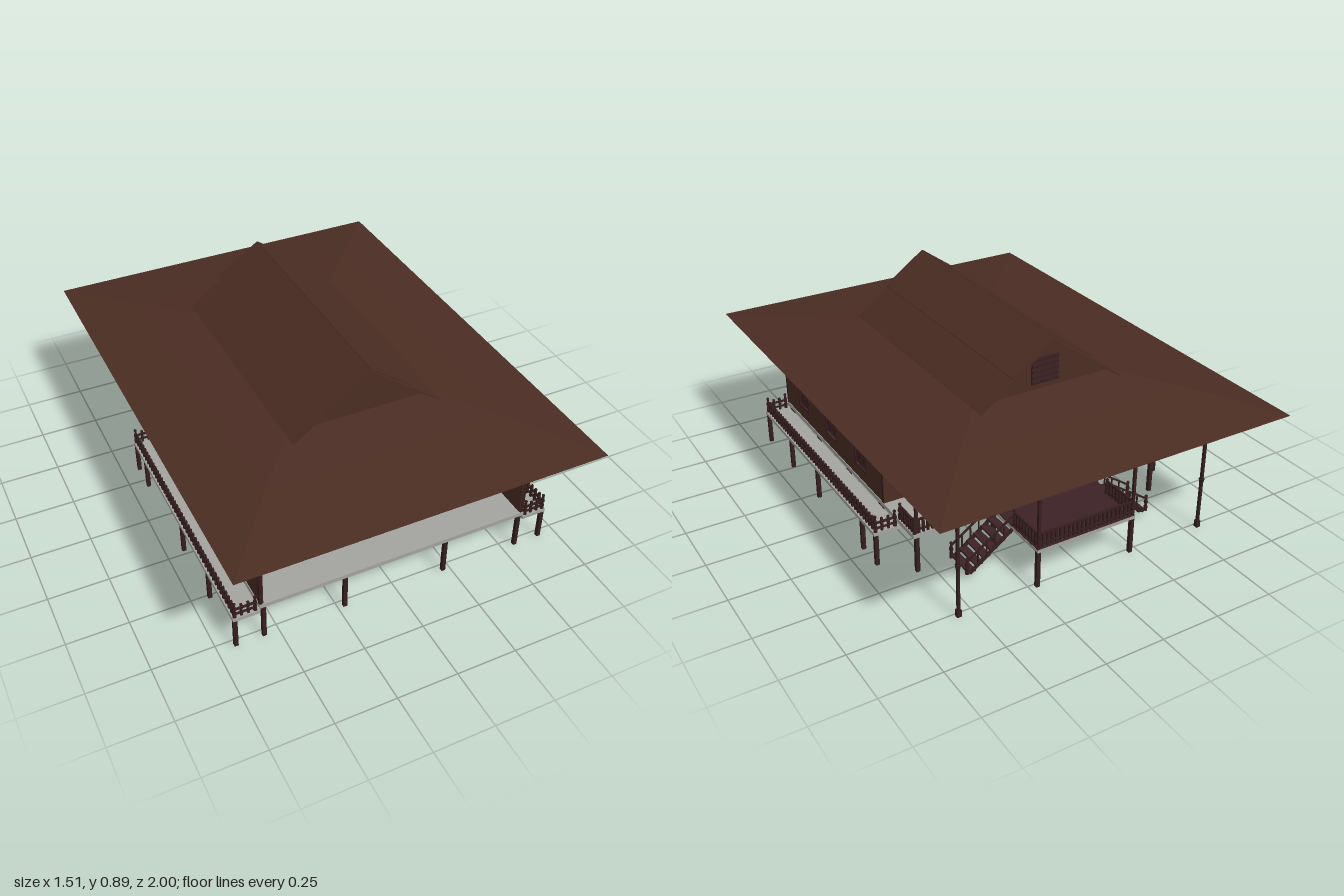
import * as THREE from 'three';

const mat = (name, color, side = THREE.FrontSide) => {
  const m = new THREE.MeshStandardMaterial({ color, side });
  m.name = name;
  return m;
};

export function createModel() {
  const root = new THREE.Group();
  const roofBrown = mat('roofBrown', 0x4b2d23, THREE.DoubleSide);
  const wallBrown = mat('wallBrown', 0x4a2e23);
  const darkRed = mat('darkRedWood', 0x3d2226);
  const darkWood = mat('darkWood', 0x351e1d);
  const grey = mat('floorGrey', 0xa3a39f);
  const V = (x, y, z) => new THREE.Vector3(x, y, z);

  const add = (name, geo, m, parent = root) => {
    const mesh = new THREE.Mesh(geo, m);
    mesh.name = name;
    parent.add(mesh);
    return mesh;
  };
  // box given by its minimum and maximum corners
  const block = (name, x0, x1, y0, y1, z0, z1, m, parent) => {
    const b = add(name, new THREE.BoxGeometry(x1 - x0, y1 - y0, z1 - z0), m, parent);
    b.position.set((x0 + x1) / 2, (y0 + y1) / 2, (z0 + z1) / 2);
    return b;
  };
  // straight bar from a to b, w wide and h high
  const bar = (name, a, b, w, h, m, parent) => {
    const mesh = add(name, new THREE.BoxGeometry(w, h, a.distanceTo(b)), m, parent);
    mesh.position.copy(a).lerp(b, 0.5);
    mesh.lookAt(b);
    return mesh;
  };
  const post = (name, x, z, y0, y1, w = 0.016) =>
    block(name, x - w / 2, x + w / 2, y0, y1, z - w / 2, z + w / 2, darkWood);

  // turned newel post
  const newelProfile = [[0.008, 0], [0.008, 0.022], [0.005, 0.028], [0.009, 0.04], [0.005, 0.055],
    [0.005, 0.062], [0.007, 0.069], [0, 0.077]].map(p => new THREE.Vector2(...p));
  const newelGeo = new THREE.LatheGeometry(newelProfile, 8);
  const newel = (x, y, z, parent = root) => add('newelPost', newelGeo, darkWood, parent).position.set(x, y, z);

  // railing with two rails, pickets and newels at both ends
  const railing = (name, a, b, h, topRail, gap = 0.026) => {
    const g = new THREE.Group();
    g.name = name;
    root.add(g);
    const n = Math.max(2, Math.round(a.distanceTo(b) / gap));
    const up = y => [a.clone().setY(a.y + y), b.clone().setY(b.y + y)];
    bar('lowerRail', ...up(0.016), 0.007, 0.007, darkWood, g);
    bar('upperRail', ...up(topRail), 0.008, 0.007, darkWood, g);
    for (let i = 1; i < n; i++) {
      const p = a.clone().lerp(b, i / n);
      block('picket', p.x - 0.0045, p.x + 0.0045, p.y, p.y + h, p.z - 0.0045, p.z + 0.0045, darkWood, g);
    }
    newel(a.x, a.y, a.z, g);
    newel(b.x, b.y, b.z, g);
  };

  // floors
  block('mainFloor', -0.578, 0.578, 0.158, 0.176, -0.46, 0.785, grey);
  block('porchFloor', -0.225, 0.225, 0.158, 0.172, -0.775, -0.46, grey);
  block('porchDeck', -0.224, 0.224, 0.172, 0.178, -0.774, -0.46, darkRed);

  // stilts under the house and porch
  for (const x of [-0.56, -0.22, 0.22, 0.56])
    for (const z of [0.775, 0.47, 0.16, -0.145, -0.45]) post('stilt', x, z, 0, 0.16);
  for (const s of [-1, 1]) {
    post('porchStilt', s * 0.217, -0.765, 0, 0.16);
    block('balconyFloor', Math.min(s * 0.578, s * 0.685), Math.max(s * 0.578, s * 0.685), 0.136, 0.151, -0.34, 0.785, grey);
    for (const z of [0.775, 0.51, 0.225, -0.21, -0.332]) post('balconyStilt', s * 0.675, z, 0, 0.137);

    // balcony railings
    railing('balconyRailing', V(s * 0.675, 0.15, 0.775), V(s * 0.675, 0.15, -0.332), 0.062, 0.04);
    for (const z of [0.775, -0.332])
      railing('balconyEndRailing', V(s * 0.675, 0.15, z), V(s * 0.592, 0.15, z), 0.058, 0.04);

    // rear veranda and porch railings
    railing('verandaSideRailing', V(s * 0.57, 0.176, -0.335), V(s * 0.57, 0.176, -0.452), 0.06, 0.06, 0.02);
    railing('verandaBackRailing', V(s * 0.57, 0.176, -0.452), V(s * 0.22, 0.176, -0.452), 0.06, 0.06, 0.02);
    railing('porchSideRailing', V(s * 0.217, 0.176, -0.6), V(s * 0.217, 0.176, -0.767), 0.06, 0.06, 0.02);

    // roof columns
    post('verandaColumn', s * 0.56, -0.45, 0.17, 0.53, 0.011);
    post('porchColumn', s * 0.217, -0.767, 0.17, 0.53, 0.011);
    post('cornerColumn', s * 0.56, -0.767, 0, 0.54, 0.011);
    post('columnBase', s * 0.56, -0.767, 0, 0.03, 0.018);
    add('columnCollar', new THREE.CylinderGeometry(0.012, 0.008, 0.02, 8), darkWood).position.set(s * 0.56, 0.22, -0.767);

    // stairs running outwards from the porch
    const stairs = new THREE.Group();
    stairs.name = 'stairs';
    root.add(stairs);
    for (const z of [-0.475, -0.598]) {
      bar('stringer', V(s * 0.225, 0.163, z), V(s * 0.415, 0.028, z), 0.008, 0.014, darkWood, stairs);
      bar('handrail', V(s * 0.225, 0.222, z), V(s * 0.425, 0.085, z), 0.007, 0.007, darkWood, stairs);
      for (let i = 1; i < 5; i++) {
        const x = s * (0.225 + 0.038 * i), y = 0.163 - 0.027 * i;
        bar('stairBaluster', V(x, y, z), V(x, y + 0.058, z + 1e-5), 0.005, 0.005, darkWood, stairs);
      }
      newel(s * 0.425, 0.028, z, stairs);
    }
    for (let i = 0; i < 6; i++) {
      const x = s * (0.245 + 0.032 * i), y = 0.15 - 0.0235 * i;
      block('tread', x - 0.017, x + 0.017, y - 0.004, y + 0.004, -0.6, -0.473, darkRed, stairs);
    }
  }
  railing('porchBackRailing', V(-0.217, 0.176, -0.767), V(0.217, 0.176, -0.767), 0.06, 0.06, 0.02);

  // wall panel with openings [u0, u1, y0, y1, isDoor]; u runs along the wall
  const wall = (name, u0, u1, openings) => {
    const g = new THREE.Group();
    g.name = name;
    const rect = (P, a, b, c, d) => {
      const p = new P();
      p.moveTo(a, c); p.lineTo(b, c); p.lineTo(b, d); p.lineTo(a, d); p.closePath();
      return p;
    };
    const s = rect(THREE.Shape, u0, u1, 0.176, 0.53);
    openings.forEach(([a, b, c, d]) => s.holes.push(rect(THREE.Path, a, b, c, d)));
    add('wallPanel', new THREE.ExtrudeGeometry(s, { depth: 0.014, bevelEnabled: false }), wallBrown, g);
    for (const [a, b, c, d, isDoor] of openings) {
      const base = isDoor ? c : c + 0.007;
      block(isDoor ? 'door' : 'shutter', a, b, base, 0.357, 0.003, 0.011, darkRed, g);
      for (const u of [a, b]) block('frameSide', u - 0.004, u + 0.004, c, d, -0.003, 0.017, darkWood, g);
      block('frameRail', a, b, 0.353, 0.361, -0.002, 0.016, darkWood, g);
      block('frameHead', a - 0.006, b + 0.006, d - 0.003, d + 0.003, -0.003, 0.017, darkWood, g);
      block('meetingStile', (a + b) / 2 - 0.002, (a + b) / 2 + 0.002, base, 0.357, 0, 0.014, darkWood, g);
      if (isDoor) continue;
      block('frameSill', a - 0.006, b + 0.006, c - 0.006, c, -0.004, 0.018, darkWood, g);
      for (const y of [0.285, 0.318]) block('shutterBar', a, b, y, y + 0.005, 0, 0.014, darkWood, g);
    }
    root.add(g);
    return g;
  };
  const win = (c, w = 0.052) => [c - w, c + w, 0.235, 0.393, false];
  wall('backWall', -0.575, 0.575, [win(-0.342), win(0.342), [-0.086, 0.086, 0.178, 0.393, true]]).position.z = -0.207;
  for (const s of [-1, 1]) {
    const w = wall('sideWall', -0.2, 0.78, [win(0.58), win(0.288), win(-0.005)]);
    w.rotation.y = -Math.PI / 2;
    w.position.x = s > 0 ? 0.575 : -0.561;
    for (const z of [0.776, -0.2]) post('wallCornerPost', s * 0.571, z, 0.176, 0.52, 0.013);
  }

  // hipped skirt roof: strips between rectangular rings [half x, half z, y]
  const rings = (name, list) => {
    const pos = [];
    const corners = ([x, z, y]) => [[x, y, z], [x, y, -z], [-x, y, -z], [-x, y, z]];
    for (let i = 0; i + 1 < list.length; i++) {
      const a = corners(list[i]), b = corners(list[i + 1]);
      for (let k = 0; k < 4; k++) {
        const n = (k + 1) % 4;
        pos.push(...a[k], ...a[n], ...b[n], ...a[k], ...b[n], ...b[k]);
      }
    }
    const geo = new THREE.BufferGeometry();
    geo.setAttribute('position', new THREE.Float32BufferAttribute(pos, 3));
    geo.computeVertexNormals();
    add(name, geo, roofBrown);
  };
  rings('skirtRoof', [[0.755, 1, 0.572], [0.5, 0.68, 0.62], [0.31, 0.45, 0.645]]);
  rings('eaveSoffit', [[0.573, 0.78, 0.511], [0.69, 0.925, 0.537], [0.755, 1, 0.571]]);
  block('ceiling', -0.573, 0.573, 0.511, 0.517, -0.78, 0.78, roofBrown);

  // upper gable roof with a raised ridge cap
  for (const s of [-1, 1]) {
    bar('gableSlope', V(s * 0.314, 0.645, 0), V(0, 0.872, 0), 1.03, 0.007, roofBrown);
    bar('ridgeCap', V(s * 0.18, 0.759, 0), V(0, 0.887, 0), 1.036, 0.006, roofBrown);
    const tri = new THREE.Shape([[-0.296, 0.652], [0.296, 0.652], [0, 0.866]].map(p => new THREE.Vector2(...p)));
    add('gableWall', new THREE.ExtrudeGeometry(tri, { depth: 0.01, bevelEnabled: false }), wallBrown)
      .position.z = s * 0.45 - 0.005;
  }
  // louvred vent in the rear gable
  block('gableVent', -0.06, 0.06, 0.675, 0.785, -0.462, -0.454, darkRed);
  for (let i = 0; i < 5; i++) block('ventSlat', -0.06, 0.06, 0.68 + i * 0.023, 0.687 + i * 0.023, -0.467, -0.46, darkWood);
  return root;
}
